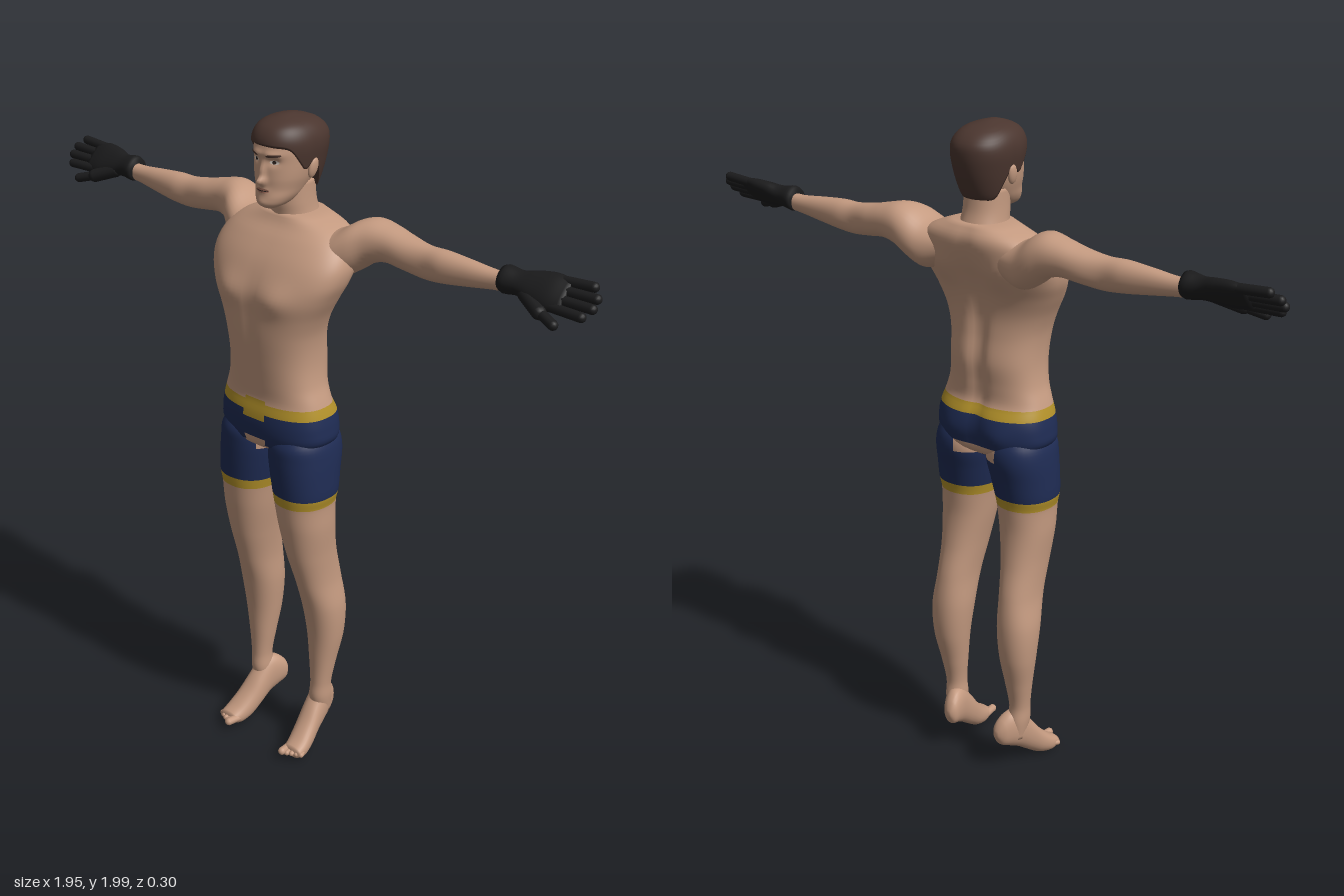
import * as THREE from 'three';

const mat = (name, color) => Object.assign(new THREE.MeshStandardMaterial({ color }), { name });
const g = (d, w) => Math.exp(-(d * d) / (w * w)); // soft bump
const sp = (v, n) => Math.sign(v) * Math.abs(v) ** (2 / n);

// Smooth interpolation of table rows [t, ...values]
function sample(rows, t) {
  let i = 0;
  while (i < rows.length - 2 && t > rows[i + 1][0]) i++;
  const slope = (k, c) => {
    const p = rows[Math.max(k - 1, 0)], q = rows[Math.min(k + 1, rows.length - 1)];
    return (q[c] - p[c]) / (q[0] - p[0]);
  };
  const A = rows[i], B = rows[i + 1], h = B[0] - A[0];
  const u = Math.min(Math.max((t - A[0]) / h, 0), 1), u2 = u * u, u3 = u2 * u;
  return A.map((_, c) => c === 0 ? t : (2 * u3 - 3 * u2 + 1) * A[c] + (u3 - 2 * u2 + u) * h * slope(i, c)
    + (3 * u2 - 2 * u3) * B[c] + (u3 - u2) * h * slope(i + 1, c));
}

// Axis maps for lofts, each keeping the same handedness
const UP = (t, a, b) => new THREE.Vector3(a, t, b);
const OUT = (t, a, b) => new THREE.Vector3(t, b, a);
const FORWARD = (t, a, b) => new THREE.Vector3(b, a, t);

// Skin through rounded sections [t, a0, a1, b0, b1]; paint(x, y, z) picks a material index
function loft(rows, { map = UP, step = 0.01, segs = 40, n = 2.2, warp, paint, lo } = {}) {
  const t0 = rows[0][0], t1 = rows[rows.length - 1][0], rings = Math.round((t1 - t0) / step);
  const pts = [], faces = [];
  for (let i = 0; i <= rings; i++) for (let j = 0; j < segs; j++) {
    const th = j / segs * Math.PI * 2, start = lo ? lo(Math.sin(th)) : t0;
    const [t, a0, a1, b0, b1] = sample(rows, start + (t1 - start) * i / rings);
    const p = map(t, (a0 + a1) / 2 + (a1 - a0) / 2 * sp(Math.cos(th), n), (b0 + b1) / 2 + (b1 - b0) / 2 * sp(Math.sin(th), n));
    if (warp) warp(p);
    pts.push(p);
  }
  for (let i = 0; i < rings; i++) for (let j = 0; j < segs; j++) {
    const a = i * segs + j, b = i * segs + (j + 1) % segs, c = a + segs, d = b + segs;
    faces.push([a, c, b], [b, c, d]);
  }
  for (const top of [0, 1]) { // end caps
    const base = top * rings * segs, mid = new THREE.Vector3();
    for (let j = 0; j < segs; j++) mid.addScaledVector(pts[base + j], 1 / segs);
    const m = pts.push(mid) - 1;
    for (let j = 0; j < segs; j++) {
      const a = base + j, b = base + (j + 1) % segs;
      faces.push(top ? [m, b, a] : [m, a, b]);
    }
  }
  const geo = new THREE.BufferGeometry().setFromPoints(pts), bins = [[], [], []];
  faces.forEach((f, k) => {
    // both triangles of a quad share one colour
    const q = k < rings * segs * 2 ? [...faces[k & ~1], ...faces[k | 1]] : f;
    const c = new THREE.Vector3();
    q.forEach(v => c.addScaledVector(pts[v], 1 / q.length));
    bins[paint ? paint(c.x, c.y, c.z) : 0].push(...f);
  });
  geo.setIndex(bins.flat());
  if (paint) bins.reduce((s, b, k) => (geo.addGroup(s, b.length, k), s + b.length), 0);
  geo.computeVertexNormals();
  return geo;
}

function mirrored(geo) {
  const m = geo.clone().scale(-1, 1, 1), ix = m.index;
  for (let i = 0; i < ix.count; i += 3) {
    const b = ix.getX(i + 1);
    ix.setX(i + 1, ix.getX(i + 2));
    ix.setX(i + 2, b);
  }
  return m;
}

function capsule(p, q, r) {
  const a = new THREE.Vector3(...p), d = new THREE.Vector3(...q).sub(a), len = d.length();
  const geo = new THREE.CapsuleGeometry(r, len, 5, 12).translate(0, len / 2, 0);
  geo.applyQuaternion(new THREE.Quaternion().setFromUnitVectors(new THREE.Vector3(0, 1, 0), d.normalize()));
  return geo.translate(...p);
}

export function createModel() {
  const skin = mat('skin', 0xc49a80), hair = mat('hair', 0x4b362f), navy = mat('shortsBlue', 0x1f2c54);
  const gold = mat('shortsGold', 0xb4922a), black = mat('gloveBlack', 0x1b1b1c), lips = mat('lips', 0xa06e5c);
  const white = mat('eyeWhite', 0xcfc4ba), dark = mat('eyeDark', 0x2c211d);
  const root = new THREE.Group();
  root.name = 'athlete';
  const add = (name, geo, m) => {
    const mesh = new THREE.Mesh(geo, m);
    mesh.name = name;
    root.add(mesh);
  };
  const pair = (name, geo, m) => {
    add('left' + name, geo, m);
    add('right' + name, mirrored(geo), m);
  };

  // Shorts colouring: 0 skin, 1 blue, 2 gold
  const paint = (x, y, z) => {
    const ax = Math.abs(x);
    if (z > 0 && ax < 0.045 && y > 1.14 && y < 1.2) return 2;
    if (y < 0.88 || y > 1.19) return 0;
    if (y < 0.91 || y > 1.16) return 2;
    if (z > 0 && y > 1.02 && y < 1.08 && ax < (y > 1.05 ? 0.042 : 0.022)) return 0;
    if (z < 0 && y > 1.03 && y < 1.07 && ax < 0.075) return 0;
    return 1;
  };
  const clothed = [skin, navy, gold];

  // Torso and hips: [y, half width, back, front]
  const wide = rows => rows.map(([y, w, zb, zf]) => [y, -w, w, zb, zf]);
  add('torso', loft(wide([
    [1.02, 0.03, -0.04, 0.06], [1.05, 0.14, -0.085, 0.118], [1.08, 0.186, -0.092, 0.13], [1.12, 0.189, -0.097, 0.135],
    [1.16, 0.182, -0.092, 0.133], [1.2, 0.17, -0.075, 0.126], [1.25, 0.153, -0.076, 0.13], [1.32, 0.146, -0.083, 0.138],
    [1.4, 0.153, -0.074, 0.146], [1.46, 0.172, -0.072, 0.148], [1.52, 0.202, -0.082, 0.146], [1.57, 0.224, -0.1, 0.132],
    [1.62, 0.228, -0.122, 0.108], [1.67, 0.205, -0.136, 0.072], [1.7, 0.165, -0.134, 0.045], [1.73, 0.085, -0.115, 0.028],
  ]), {
    segs: 80, n: 2.45, paint, warp: p => {
      const ax = Math.abs(p.x), up = Math.min(Math.max((p.y - 1.05) / 0.1, 0), 1);
      if (p.z > 0.02) p.z += 0.013 * g(ax - 0.085, 0.055) * g(p.y - 1.52, 0.045) - 0.004 * g(p.x, 0.015) * g(p.y - 1.42, 0.14);
      else if (p.z < -0.02) p.z += 0.016 * up * g(p.x, 0.025) * g(p.y - 1.35, 0.28)
        - 0.012 * g(ax - 0.1, 0.045) * g(p.y - 1.59, 0.05) - 0.012 * g(ax - 0.085, 0.05) * g(p.y - 1.1, 0.05);
    },
  }), clothed);

  // Legs: [y, inner x, outer x, back, front]
  pair('Leg', loft([
    [0.11, 0.095, 0.145, -0.065, -0.01], [0.17, 0.092, 0.154, -0.068, 0.008], [0.22, 0.095, 0.155, -0.062, 0.005],
    [0.3, 0.086, 0.166, -0.077, 0.006], [0.4, 0.074, 0.182, -0.1, 0.012], [0.5, 0.065, 0.187, -0.106, 0.03],
    [0.6, 0.063, 0.176, -0.095, 0.06], [0.7, 0.05, 0.178, -0.074, 0.09], [0.8, 0.032, 0.187, -0.062, 0.11],
    [0.88, 0.02, 0.19, -0.065, 0.12], [0.91, 0.014, 0.197, -0.07, 0.123], [0.97, 0.004, 0.196, -0.082, 0.127],
    [1.03, -0.003, 0.192, -0.096, 0.129], [1.07, 0.005, 0.185, -0.094, 0.127], [1.1, 0.03, 0.17, -0.08, 0.11],
  ], { paint }), clothed);

  // Feet, pointed down and outward: [z, sole, top, inner x, outer x]
  pair('Foot', loft([
    [-0.107, 0.125, 0.15, 0.085, 0.105], [-0.095, 0.1, 0.175, 0.075, 0.122], [-0.065, 0.085, 0.2, 0.075, 0.14],
    [-0.03, 0.068, 0.2, 0.08, 0.15], [0.01, 0.04, 0.158, 0.083, 0.156], [0.05, 0.015, 0.108, 0.088, 0.165],
    [0.09, 0.006, 0.07, 0.096, 0.172], [0.12, 0.018, 0.05, 0.105, 0.17],
  ], { map: FORWARD, step: 0.006, segs: 28 }), skin);
  for (let i = 0; i < 5; i++) {
    const x = 0.111 + i * 0.0135, r = i ? 0.0085 : 0.0125;
    pair('Toe' + (i + 1), capsule([x, 0.034, 0.1], [x + 0.004, 0.03 + (i ? 0.002 : 0.006), 0.138 - i * 0.007], r), skin);
  }

  // Arms: [x, back, front, bottom, top]
  pair('Arm', loft([
    [0.1, -0.12, 0.02, 1.59, 1.69], [0.17, -0.142, 0.032, 1.565, 1.705], [0.22, -0.15, 0.012, 1.59, 1.735],
    [0.26, -0.148, -0.014, 1.618, 1.744], [0.31, -0.142, -0.03, 1.632, 1.735], [0.37, -0.133, -0.036, 1.626, 1.721],
    [0.44, -0.117, -0.044, 1.618, 1.711], [0.5, -0.118, -0.04, 1.622, 1.711], [0.58, -0.112, -0.048, 1.633, 1.705],
    [0.66, -0.106, -0.058, 1.645, 1.698], [0.71, -0.104, -0.06, 1.65, 1.7],
  ], { map: OUT, segs: 32 }), skin);

  // Gloved hands, tilted with the thumb low and forward
  const place = geo => geo.rotateX(-0.75).translate(0, 1.683, -0.082);
  pair('Glove', place(loft([
    [0.685, -0.033, 0.033, -0.034, 0.034], [0.695, -0.036, 0.036, -0.038, 0.038], [0.74, -0.028, 0.028, -0.034, 0.034],
    [0.78, -0.026, 0.026, -0.044, 0.046], [0.835, -0.023, 0.023, -0.053, 0.054], [0.88, -0.014, 0.014, -0.046, 0.047],
  ], { map: OUT, segs: 28 })), black);
  [0.945, 0.963, 0.962, 0.94].forEach((tip, i) => {
    const y = -0.038 + i * 0.0253;
    pair('Finger' + (i + 1), place(capsule([0.85, y, 0], [tip, y * 1.12, 0.004], 0.0138)), black);
  });
  pair('ThumbBase', place(capsule([0.765, -0.025, 0], [0.83, -0.062, 0.006], 0.02)), black);
  pair('Thumb', place(capsule([0.815, -0.055, 0.005], [0.885, -0.084, 0.008], 0.014)), black);

  // Neck
  add('neck', loft(wide([
    [1.66, 0.09, -0.125, 0.03], [1.69, 0.078, -0.122, 0.034], [1.72, 0.067, -0.11, 0.03],
    [1.76, 0.063, -0.097, 0.034], [1.82, 0.062, -0.09, 0.03],
  ])), skin);

  // Head with modelled brow, eye sockets, nose, lips and chin
  const head = wide([
    [1.755, 0.02, 0.035, 0.08], [1.765, 0.038, 0, 0.092], [1.785, 0.053, -0.035, 0.094], [1.81, 0.063, -0.065, 0.089],
    [1.84, 0.073, -0.085, 0.089], [1.88, 0.08, -0.105, 0.087], [1.92, 0.083, -0.118, 0.086],
    [1.95, 0.078, -0.115, 0.074], [1.985, 0.045, -0.07, 0.036],
  ]);
  const bump = (x, y) => {
    const ax = Math.abs(x);
    return 0.021 * g(x, 0.011) * g(y - 1.833, 0.012) + 0.012 * g(x, 0.009) * g(y - 1.86, 0.024)
      + 0.006 * g(ax - 0.026, 0.025) * g(y - 1.907, 0.009) - 0.008 * g(ax - 0.032, 0.015) * g(y - 1.888, 0.011)
      + 0.004 * g(x, 0.02) * g(y - 1.807, 0.01) + 0.004 * g(x, 0.02) * g(y - 1.772, 0.012);
  };
  add('head', loft(head, { segs: 96, step: 0.004, warp: p => { if (p.z > 0.02) p.z += bump(p.x, p.y); } }), skin);

  // Thin face details laid on the head surface
  const patch = (x, y, w, h, lift, tilt = 0) => {
    const geo = new THREE.CircleGeometry(1, 20).scale(w, h, 1).rotateZ(tilt).translate(x, y, 0), pos = geo.attributes.position;
    for (let i = 0; i < pos.count; i++) {
      const px = pos.getX(i), py = pos.getY(i), [, , rx, zb, zf] = sample(head, py);
      const k = (1 - Math.abs(px / rx) ** 2.2) ** (1 / 2.2);
      pos.setZ(i, (zb + zf) / 2 + (zf - zb) / 2 * k + bump(px, py) + lift);
    }
    geo.computeVertexNormals();
    return geo;
  };
  pair('Eye', patch(0.033, 1.887, 0.013, 0.0055, 0.002), white);
  pair('Iris', patch(0.032, 1.887, 0.0055, 0.005, 0.0035), dark);
  pair('Eyebrow', patch(0.034, 1.906, 0.02, 0.0042, 0.003, 0.12), hair);
  add('mouth', patch(0, 1.807, 0.023, 0.0065, 0.002), lips);
  add('mouthLine', patch(0, 1.807, 0.022, 0.0013, 0.0035), dark);
  pair('Ear', new THREE.SphereGeometry(1, 18, 12).scale(0.009, 0.029, 0.017).rotateX(-0.2).rotateZ(-0.15)
    .translate(0.083, 1.862, -0.022), skin);

  // Short hair with a hairline that runs from forehead to sideburn to nape
  const hairline = [[-1, 1.795], [-0.55, 1.8], [-0.25, 1.85], [-0.02, 1.885], [0.2, 1.862], [0.38, 1.885], [0.65, 1.925], [1, 1.935]];
  add('hair', loft(wide([
    [1.78, 0.06, -0.085, 0.06], [1.8, 0.07, -0.102, 0.07], [1.84, 0.08, -0.12, 0.085], [1.88, 0.087, -0.132, 0.092],
    [1.92, 0.092, -0.138, 0.095], [1.95, 0.088, -0.134, 0.092], [1.975, 0.073, -0.11, 0.076],
    [1.99, 0.05, -0.077, 0.05], [2, 0.015, -0.03, 0.015],
  ]), { segs: 72, lo: s => sample(hairline, s)[1] }), hair);

  return root;
}
